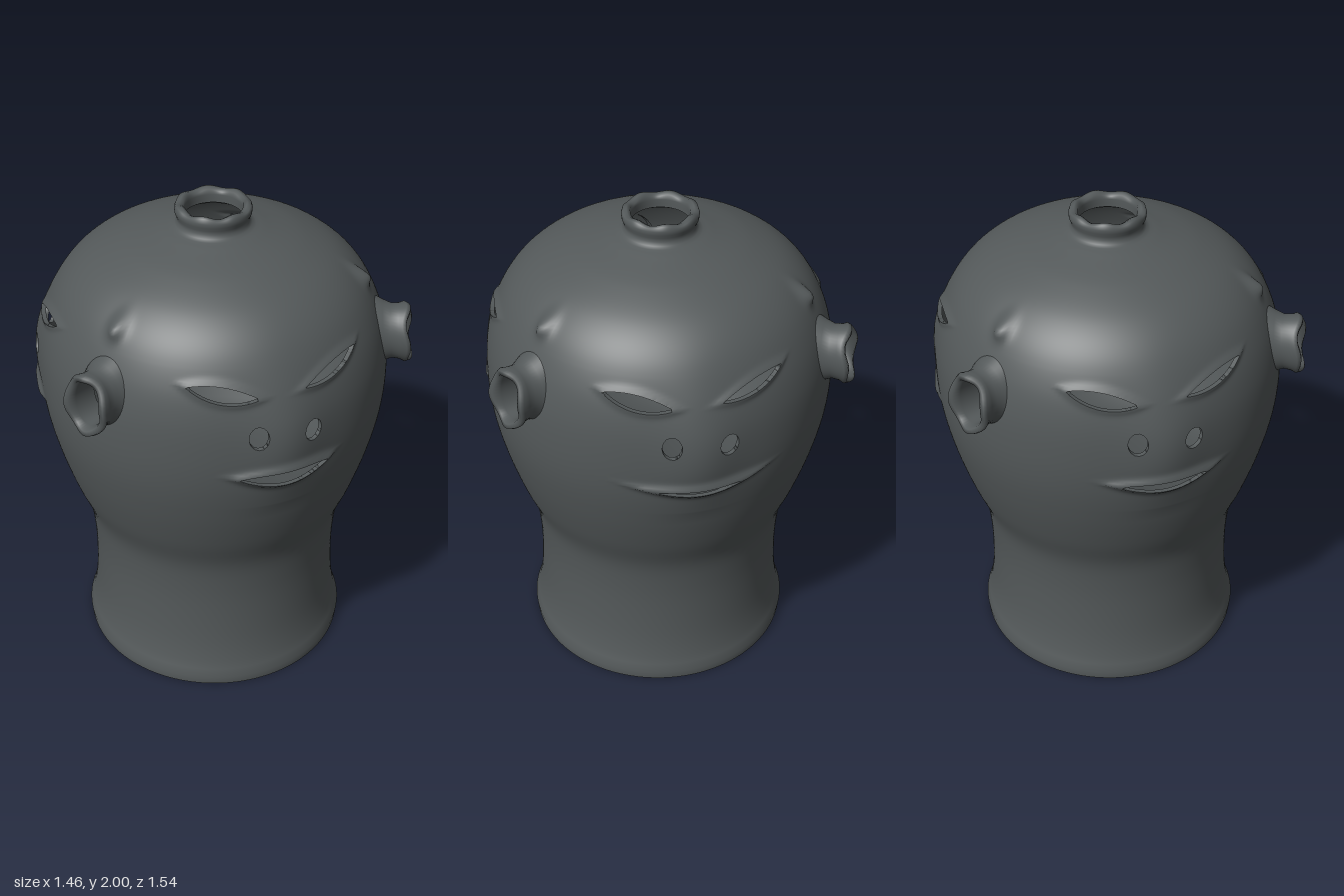
import * as THREE from 'three';
import { mergeVertices } from 'three/addons/utils/BufferGeometryUtils.js';

const TAU = Math.PI * 2;
const THIRD = TAU / 3;
const wrap = a => a - TAU * Math.round(a / TAU);
const bell = d => Math.exp(-d * d);

// Three faces around the vessel: angle and how far the mouth is open
const faces = [
  { angle: 0, mouth: 0.034, mouthY: 1.2 },
  { angle: THIRD, mouth: 0.013, mouthY: 1.175 },
  { angle: -THIRD, mouth: 0.024, mouthY: 1.185 },
];
const spoutAngles = [THIRD / 2, Math.PI, -THIRD / 2];
const SPOUT_Y = 1.485;

// Implicit openings: negative inside
function lens(a, y, a0, y0, a1, y1, half, curve = 0) {
  const p = (2 * (a - a0)) / (a1 - a0) - 1;
  const arch = 1 - p * p;
  const mid = y0 + ((y1 - y0) * (p + 1)) / 2 + curve * arch;
  return Math.abs(y - mid) - half * arch;
}
const oval = (a, y, ca, cy, w, h) =>
  (Math.hypot(((a - ca) * 0.69) / w, (y - cy) / h) - 1) * Math.min(w, h);

function slits(angle, y) {
  let eye = 1, mouth = 1;
  for (const f of faces) {
    const a = wrap(angle - f.angle);
    if (Math.abs(a) > 1) continue;
    eye = Math.min(eye,
      lens(a, y, -0.55, 1.59, -0.14, 1.545, 0.031, -0.004),
      lens(a, y, 0.12, 1.55, 0.55, 1.608, 0.025, -0.004));
    mouth = Math.min(mouth, lens(a, y, -0.26, f.mouthY + 0.012, 0.26, f.mouthY + 0.012, f.mouth, -0.01));
  }
  return { eye, mouth };
}

function openings(angle, y) {
  if (y < 1.05 || y > 1.75) return 1;
  const { eye, mouth } = slits(angle, y);
  let d = Math.min(eye, mouth);
  for (const f of faces) {
    const a = wrap(angle - f.angle);
    d = Math.min(d, oval(a, y, -0.155, 1.39, 0.036, 0.048), oval(a, y, 0.155, 1.375, 0.038, 0.044));
  }
  for (const s of spoutAngles) d = Math.min(d, oval(wrap(angle - s), y, 0, SPOUT_Y, 0.083, 0.108));
  return d;
}

// Point on the wall, with noses, lips and small horns pushed outwards
function surface([angle, radius, y], inset = 0) {
  let r = radius - inset;
  if (y > 1 && y < 1.9 && radius > 0.3) {
    for (const f of faces) {
      const a = wrap(angle - f.angle);
      r += 0.032 * bell(a / 0.2) * bell((y - 1.33) / 0.22);
    }
    for (const s of spoutAngles) {
      const a = wrap(angle - s) * 0.57;
      r += 0.04 * bell(a / 0.032) * bell((y - 1.725) / 0.035);
    }
    if (y < 1.75) {
      const { eye, mouth } = slits(angle, y);
      r += 0.01 * bell(eye / 0.016) + 0.018 * bell(mouth / 0.02);
    }
  }
  // Uneven mouth of the neck
  const top = y + (y > 1.98 ? 0.005 * Math.sin(angle * 7) : 0);
  return [r * Math.sin(angle), top, 0.03 - 0.008 * y + r * Math.cos(angle)];
}

function smoothGeometry(positions) {
  const g = new THREE.BufferGeometry();
  g.setAttribute('position', new THREE.Float32BufferAttribute(positions, 3));
  const merged = mergeVertices(g, 1e-5);
  merged.computeVertexNormals();
  return merged;
}

// Turned wall, cut open wherever the openings are negative
function buildWall() {
  const profile = new THREE.CatmullRomCurve3([
    [0.555, 0], [0.56, 0.03], [0.545, 0.075], [0.526, 0.18], [0.517, 0.35], [0.521, 0.5],
    [0.54, 0.64], [0.6, 0.8], [0.655, 0.98], [0.69, 1.15], [0.7, 1.3], [0.69, 1.45],
    [0.655, 1.58], [0.59, 1.7], [0.5, 1.785], [0.36, 1.855], [0.2, 1.903], [0.147, 1.92],
    [0.14, 1.94], [0.149, 1.965], [0.147, 1.993], [0.118, 1.993], [0.113, 1.94],
  ].map(([r, y]) => new THREE.Vector3(r, y, 0)));
  profile.arcLengthDivisions = 1000;

  const rows = [];
  for (const [from, to, n] of [[0, 0.44, 28], [0.44, 0.7, 64], [0.7, 1, 44]])
    for (let i = 0; i < n; i++) rows.push(profile.getPointAt(from + ((to - from) * i) / n));
  rows.push(profile.getPointAt(1));

  const columns = 280;
  const grid = rows.map(p => Array.from({ length: columns + 1 }, (_, j) => {
    const angle = (j / columns) * TAU;
    return { at: [angle, p.x, p.y], d: openings(angle, p.y) };
  }));

  const wall = [], rims = [];
  const cut = corners => {
    const kept = [], edge = [];
    corners.forEach((a, i) => {
      const b = corners[(i + 1) % 3];
      if (a.d >= 0) kept.push(a.at);
      if (a.d >= 0 !== b.d >= 0) {
        const t = a.d / (a.d - b.d);
        const p = a.at.map((v, k) => v + (b.at[k] - v) * t);
        kept.push(p);
        edge.push(p);
      }
    });
    for (let i = 2; i < kept.length; i++)
      wall.push(...surface(kept[0]), ...surface(kept[i - 1]), ...surface(kept[i]));
    if (edge.length === 2) {
      const [p, q] = edge;
      rims.push(...surface(p), ...surface(q), ...surface(q, 0.018),
        ...surface(p), ...surface(q, 0.018), ...surface(p, 0.018));
    }
  };
  for (let i = 0; i + 1 < rows.length; i++) {
    for (let j = 0; j < columns; j++) {
      const a = grid[i][j], b = grid[i][j + 1], c = grid[i + 1][j + 1], d = grid[i + 1][j];
      cut([a, b, c]);
      cut([a, c, d]);
    }
  }
  return { wall: smoothGeometry(wall), rims: smoothGeometry(rims) };
}

// Short oval spout facing +z, lofted from rings of [distance, half width, half height]
function buildSpout() {
  const rings = [
    [0.63, 0.12, 0.15], [0.68, 0.1, 0.126], [0.71, 0.09, 0.114], [0.74, 0.094, 0.117],
    [0.765, 0.102, 0.125], [0.78, 0.096, 0.119], [0.779, 0.076, 0.101], [0.75, 0.067, 0.094],
    [0.65, 0.066, 0.094],
  ];
  const sides = 48, positions = [], index = [];
  rings.forEach(([z, w, h], i) => {
    const wave = i > 3 && i < 7 ? 0.008 : 0;
    for (let j = 0; j < sides; j++) {
      const a = (j / sides) * TAU;
      const y = h * Math.sin(a);
      positions.push(w * Math.cos(a), y, z - 0.1 * y + wave * Math.sin(a * 4 + 1));
      if (i + 1 === rings.length) continue;
      const k = (j + 1) % sides, p = i * sides;
      index.push(p + j, p + k, p + sides + k, p + j, p + sides + k, p + sides + j);
    }
  });
  const g = new THREE.BufferGeometry();
  g.setAttribute('position', new THREE.Float32BufferAttribute(positions, 3));
  g.setIndex(index);
  g.computeVertexNormals();
  return g;
}

export function createModel() {
  const model = new THREE.Group();
  model.name = 'threeFacedVessel';
  const clay = new THREE.MeshStandardMaterial({ color: 0x54595a, side: THREE.DoubleSide });
  clay.name = 'darkGreyClay';

  const add = (name, geometry) => {
    const mesh = new THREE.Mesh(geometry, clay);
    mesh.name = name;
    model.add(mesh);
    return mesh;
  };

  const { wall, rims } = buildWall();
  add('vesselWall', wall);
  add('openingRims', rims);

  // Spouts between the faces
  const spout = buildSpout();
  ['leftSpout', 'backSpout', 'rightSpout'].forEach((name, i) => {
    const mesh = add(name, spout);
    mesh.position.set(0, SPOUT_Y, 0.018);
    mesh.rotation.y = spoutAngles[i];
  });
  return model;
}
